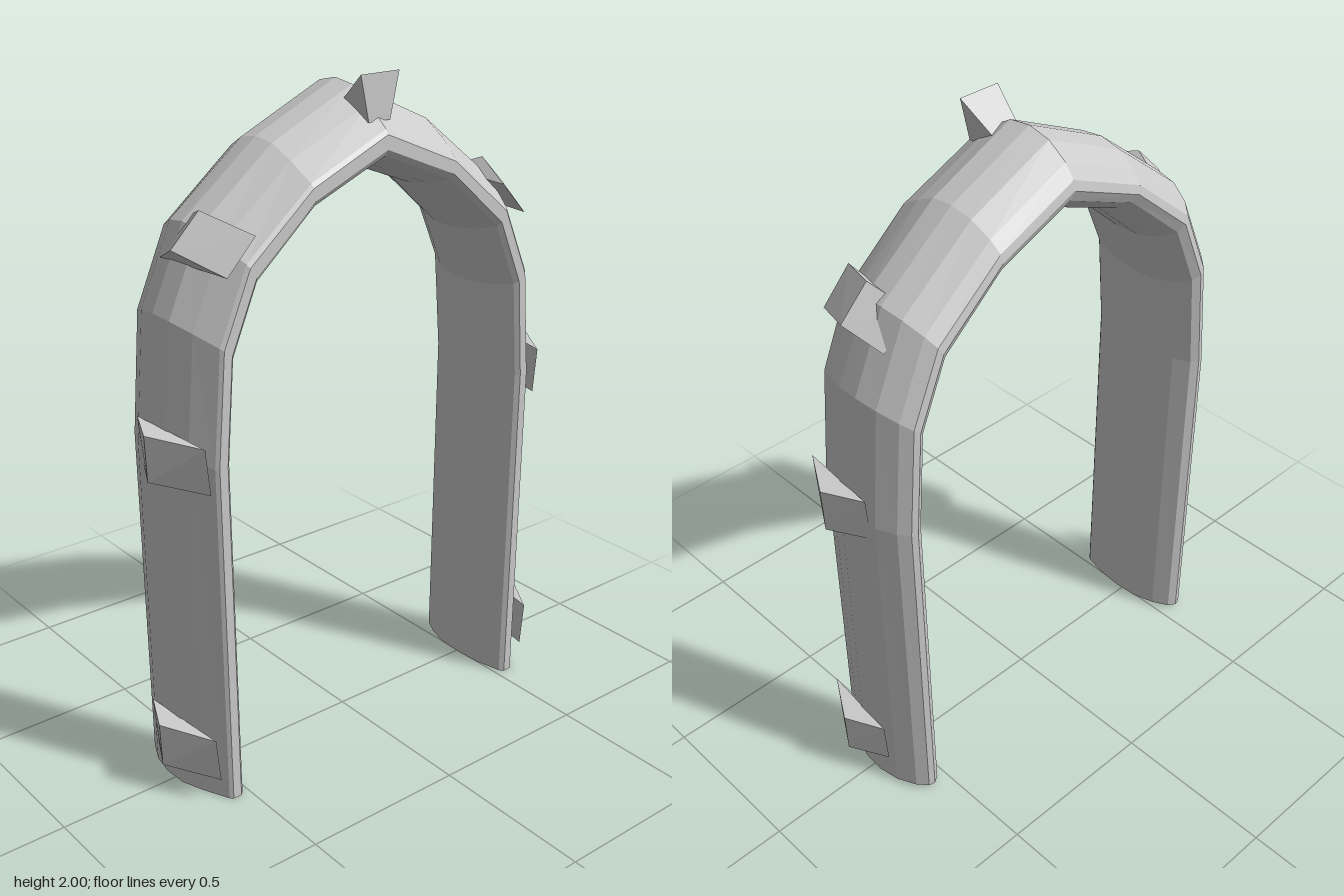
import * as THREE from 'three';
import { ConvexGeometry } from 'three/addons/geometries/ConvexGeometry.js';

const material = new THREE.MeshStandardMaterial({ color: 0xcccccc, flatShading: true });

// Half arch stations: outer z, outer y, inner z, inner y
const half = [
  [0.637, 0, 0.488, 0], [0.645, 1.04, 0.5, 1.04], [0.612, 1.42, 0.48, 1.31],
  [0.51, 1.65, 0.405, 1.49], [0.27, 1.84, 0.23, 1.65],
];
const stations = [
  ...half, [0, 1.965, 0, 1.74],
  ...half.slice().reverse().map(([a, b, c, d]) => [-a, b, -c, d]),
];

// Section: x across the band, t through its thickness (0 inner, 1 outer)
const section = [
  [-0.195, 0.45], [-0.19, 0.58], [-0.16, 0.75], [-0.1, 0.93], [-0.03, 1],
  [0.04, 0.96], [0.11, 0.77], [0.183, 0.52], [0.192, 0.46], [0.192, 0.28],
  [0.18, 0.2], [0.1, 0.06], [0.02, 0], [-0.06, 0.01], [-0.13, 0.13], [-0.18, 0.3],
];

function archGeometry() {
  const n = section.length, last = stations.length - 1;
  const pos = [], idx = [];
  stations.forEach(([oz, oy, iz, iy], s) => {
    for (const [x, t] of section) {
      // feet are cut at a slight slant
      const lift = s === 0 || s === last ? 0.007 - 0.035 * x : 0;
      pos.push(x, iy + (oy - iy) * t + lift, iz + (oz - iz) * t);
    }
  });
  for (let s = 0; s < last; s++) {
    for (let i = 0; i < n; i++) {
      const j = (i + 1) % n;
      const a = s * n + i, b = s * n + j, c = a + n, d = b + n;
      idx.push(a, b, c, b, d, c);
    }
  }
  // foot caps
  const e = last * n;
  for (let i = 1; i < n - 1; i++) idx.push(0, i + 1, i, e, e + i, e + i + 1);
  const g = new THREE.BufferGeometry();
  g.setAttribute('position', new THREE.Float32BufferAttribute(pos, 3));
  g.setIndex(idx);
  const flat = g.toNonIndexed();
  flat.computeVertexNormals();
  return flat;
}

// Triangular wedge spanned by its corner points
function wedge(name, points) {
  const mesh = new THREE.Mesh(
    new ConvexGeometry(points.map((p) => new THREE.Vector3(...p))), material);
  mesh.name = name;
  return mesh;
}

export function createModel() {
  const group = new THREE.Group();
  group.name = 'arch';

  const band = new THREE.Mesh(archGeometry(), material);
  band.name = 'archBand';
  group.add(band);

  for (const [side, s] of [['Front', 1], ['Back', -1]]) {
    // studs on the straight legs
    [['lower', 0], ['middle', 0.89]].forEach(([label, y]) => {
      group.add(wedge(`${label}Stud${side}`, [
        [-0.08, y + 0.1, s * 0.635], [-0.08, y + 0.235, s * 0.645],
        [0.04, y + 0.095, s * 0.695], [0.04, y + 0.23, s * 0.7],
        [0.192, y + 0.083, s * 0.597], [0.192, y + 0.217, s * 0.61],
      ]));
    });
    // tilted stud on the shoulder
    group.add(wedge(`shoulderStud${side}`, [
      [-0.08, 1.55, s * 0.55], [-0.08, 1.645, s * 0.46],
      [0.035, 1.6, s * 0.59], [0.035, 1.69, s * 0.5],
      [0.192, 1.55, s * 0.525], [0.192, 1.645, s * 0.435],
    ]));
  }

  // spike on the crown
  group.add(wedge('crownStud', [
    [0, 1.88, -0.04], [0, 1.88, 0.03],
    [0.15, 2, -0.072], [0.15, 2, 0.06],
    [0.15, 1.872, -0.042], [0.15, 1.872, 0.032],
  ]));
  return group;
}
